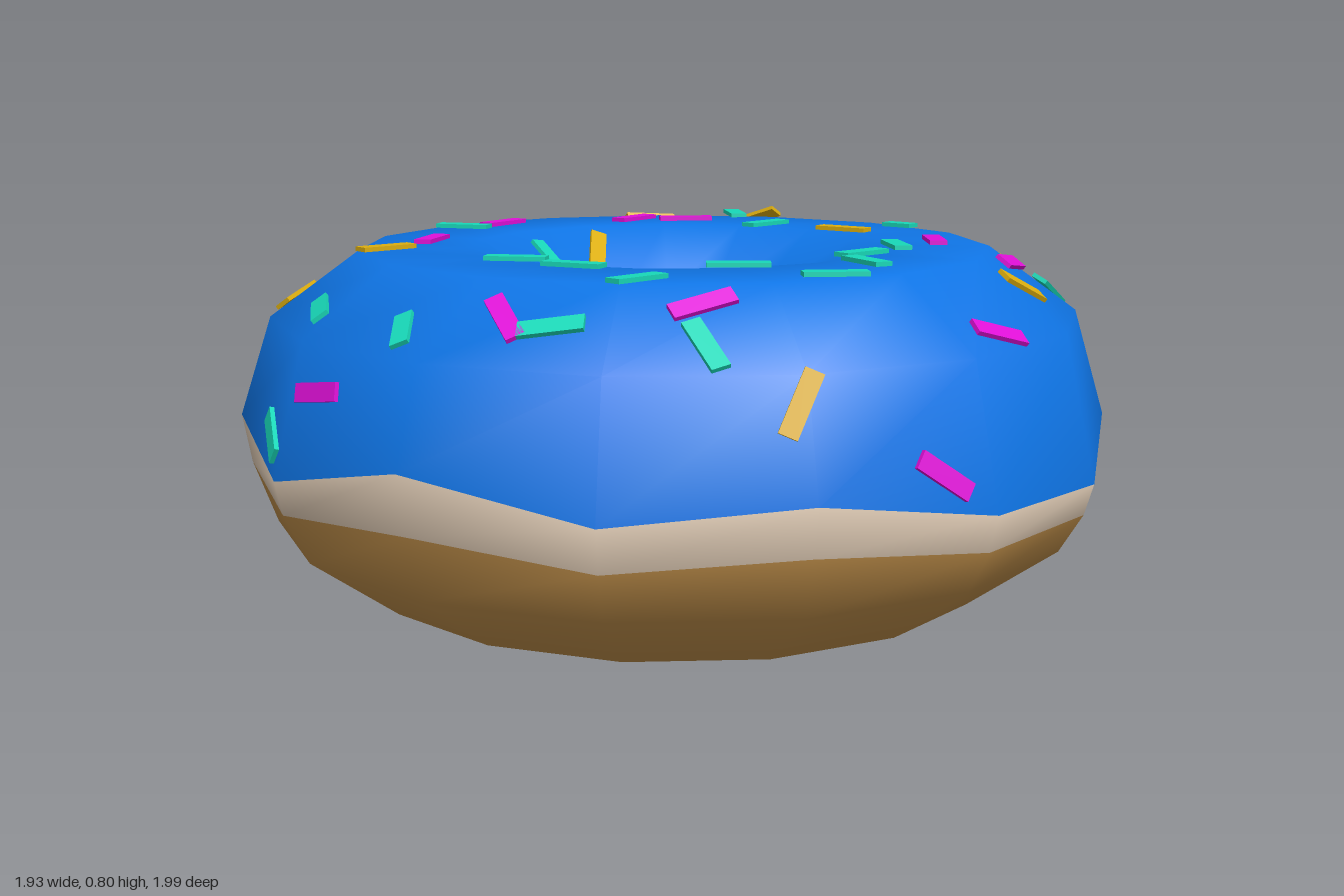
import * as THREE from 'three';

const mat = (name, color) => {
  const m = new THREE.MeshStandardMaterial({ color });
  m.name = name;
  return m;
};

export function createModel() {
  const group = new THREE.Group();
  group.name = 'doughnut';
  const blue = mat('blue icing', 0x0f75e6);
  const cream = mat('pale band', 0xdcc8b2);
  const tan = mat('baked dough', 0xc08f4a);
  const magenta = mat('magenta', 0xe010d8);
  const teal = mat('teal', 0x18d8b8);
  const yellow = mat('yellow', 0xdcae10);

  // Ring body: 15 segments, heights of the wavy icing edge and of the pale band below it
  const SEG = 15, ROWS = 11, R = 0.6, r = 0.405, CX = 0.02, CY = 0.385;
  const icingEdge = [.225, .30, .38, .305, .32, .385, .35, .42, .335, .40, .40, .39, .36, .28, .385];
  const bandEdge = [.165, .22, .285, .235, .24, .28, .255, .29, .26, .29, .30, .29, .25, .17, .27];

  const section = (i) => {
    const ring = (deg) => {
      const a = THREE.MathUtils.degToRad(deg);
      return [R + r * Math.cos(a), CY + r * Math.sin(a)];
    };
    const upper = [180, 144, 108, 72, 36].map(ring);
    const lower = [-36, -72, -108, -144].map(ring);
    if (i === 0) lower[0][0] = 0.87;
    const edge = [i === 0 ? 0.92 : 1.0, icingEdge[i]];
    const t = Math.min(0.9, (edge[1] - bandEdge[i]) / (edge[1] - lower[0][1]));
    const band = [edge[0] + (lower[0][0] - edge[0]) * t + 0.012, bandEdge[i]];
    return [...upper, edge, band, ...lower];
  };

  const pts = [];
  for (let i = 0; i < SEG; i++) {
    const phi = (i / SEG) * Math.PI * 2;
    for (const [rad, y] of section(i)) {
      pts.push(new THREE.Vector3(CX + rad * Math.cos(phi), y, rad * Math.sin(phi)));
    }
  }
  const id = (i, j) => ((i + SEG) % SEG) * ROWS + (j % ROWS);

  const indices = (from, to) => {
    const out = [];
    for (let i = 0; i < SEG; i++) {
      for (let j = from; j < to; j++) {
        const a = id(i, j), b = id(i + 1, j), c = id(i + 1, j + 1), d = id(i, j + 1);
        out.push(a, b, c, a, c, d);
      }
    }
    return out;
  };

  // Normals are computed over the whole ring so the three bands blend smoothly
  const whole = new THREE.BufferGeometry().setFromPoints(pts);
  whole.setIndex(indices(0, ROWS));
  whole.computeVertexNormals();
  const bandMesh = (name, from, to, material) => {
    const g = new THREE.BufferGeometry();
    g.setAttribute('position', whole.getAttribute('position'));
    g.setAttribute('normal', whole.getAttribute('normal'));
    g.setIndex(indices(from, to));
    const mesh = new THREE.Mesh(g, material);
    mesh.name = name;
    group.add(mesh);
    return mesh;
  };
  const icing = bandMesh('icing', 0, 5, blue);
  bandMesh('paleBand', 5, 6, cream);
  bandMesh('dough', 6, ROWS, tan);

  // Small baked spots just under the icing edge
  for (const [i, s, depth] of [[14, 0.2, 0.25], [13, 0.3, 0.35]]) {
    const p = pts[id(i, 5)];
    const to = (q, t) => p.clone().lerp(q, t);
    const a = to(pts[id(i - 1, 5)], s), c = to(pts[id(i + 1, 5)], s), d = to(pts[id(i, 6)], depth);
    const out = new THREE.Vector3(p.x, 0, p.z).setLength(0.005);
    const g = new THREE.BufferGeometry().setFromPoints([p, c, d, p, d, a].map((v) => v.clone().add(out)));
    g.computeVertexNormals();
    const spot = new THREE.Mesh(g, tan);
    spot.name = 'bakedSpot';
    group.add(spot);
  }

  // Sprinkles: thin bars dropped onto the icing along an axis, aligned to the face they hit
  const sprinkles = new THREE.Group();
  sprinkles.name = 'sprinkles';
  group.add(sprinkles);
  const caster = new THREE.Raycaster();
  const place = (origin, axis, heading, length, material) => {
    caster.set(origin, axis);
    const hit = caster.intersectObject(icing)[0];
    if (!hit) return;
    const n = hit.face.normal.clone();
    const along = heading.clone().addScaledVector(axis, -n.dot(heading) / n.dot(axis)).normalize();
    const side = along.clone().cross(n);
    const bar = new THREE.Mesh(new THREE.BoxGeometry(length, 0.01, 0.04), material);
    bar.name = 'sprinkle';
    bar.quaternion.setFromRotationMatrix(new THREE.Matrix4().makeBasis(along, n, side));
    bar.position.copy(hit.point).addScaledVector(n, 0.009);
    sprinkles.add(bar);
  };

  // Each entry: x, z, heading in degrees, optional length
  const scatter = [
    [magenta, [
      [-.285, -.785, -3], [.02, -.615, -10], [-.355, -.43, -32], [.34, -.465, -8],
      [.43, -.365, 40], [-.91, -.10, 88], [-.735, .28, -70], [-.485, .57, 25],
      [.455, .42, -45], [.48, .61, -20], [.06, .875, 15], [.905, -.095, 40]]],
    [yellow, [
      [-.605, -.615, -27], [-.54, -.36, 5], [.125, -.38, -45], [.5, -.57, 25],
      [.675, -.315, 80, .09], [.815, -.14, -50], [.51, .10, 80], [-.25, .265, -30],
      [-.155, .31, 88], [.675, .48, -15], [.345, .735, 8], [-.465, .805, 10]]],
    [teal, [
      [.385, -.695, -3], [-.105, -.62, 62], [-.035, -.375, 90], [.625, -.37, -52],
      [.825, -.48, 40], [.48, -.13, 0], [.13, -.21, 30, .08], [-.915, -.26, -60],
      [-.79, -.255, -55], [-.83, .08, -45, .1], [-.47, .005, 55], [-.46, .175, 70]]],
    [teal, [
      [-.705, .38, 55], [-.525, .43, 0], [-.22, .42, 45], [.015, .57, -72],
      [.13, .465, 3], [.31, .42, -52], [.685, .14, 85, .08], [.64, .61, -12],
      [-.195, .66, 40], [-.545, .635, -75]]],
  ];
  const down = new THREE.Vector3(0, -1, 0);
  for (const [material, list] of scatter) {
    for (const [x, z, deg, length = 0.135] of list) {
      const a = THREE.MathUtils.degToRad(deg);
      place(new THREE.Vector3(x, 2, z), down, new THREE.Vector3(Math.cos(a), 0, Math.sin(a)), length, material);
    }
  }

  // Sprinkles on the steep outer wall
  place(new THREE.Vector3(-.2, .41, 2), new THREE.Vector3(0, 0, -1), new THREE.Vector3(.8, -.6, 0), .135, magenta);
  const inward = new THREE.Vector3(-1, 0, 0);
  place(new THREE.Vector3(2, .345, .01), inward, new THREE.Vector3(0, .2, -1), .135, teal);
  place(new THREE.Vector3(2, .55, -.26), inward, new THREE.Vector3(0, -.9, -.45), .135, teal);

  return group;
}
